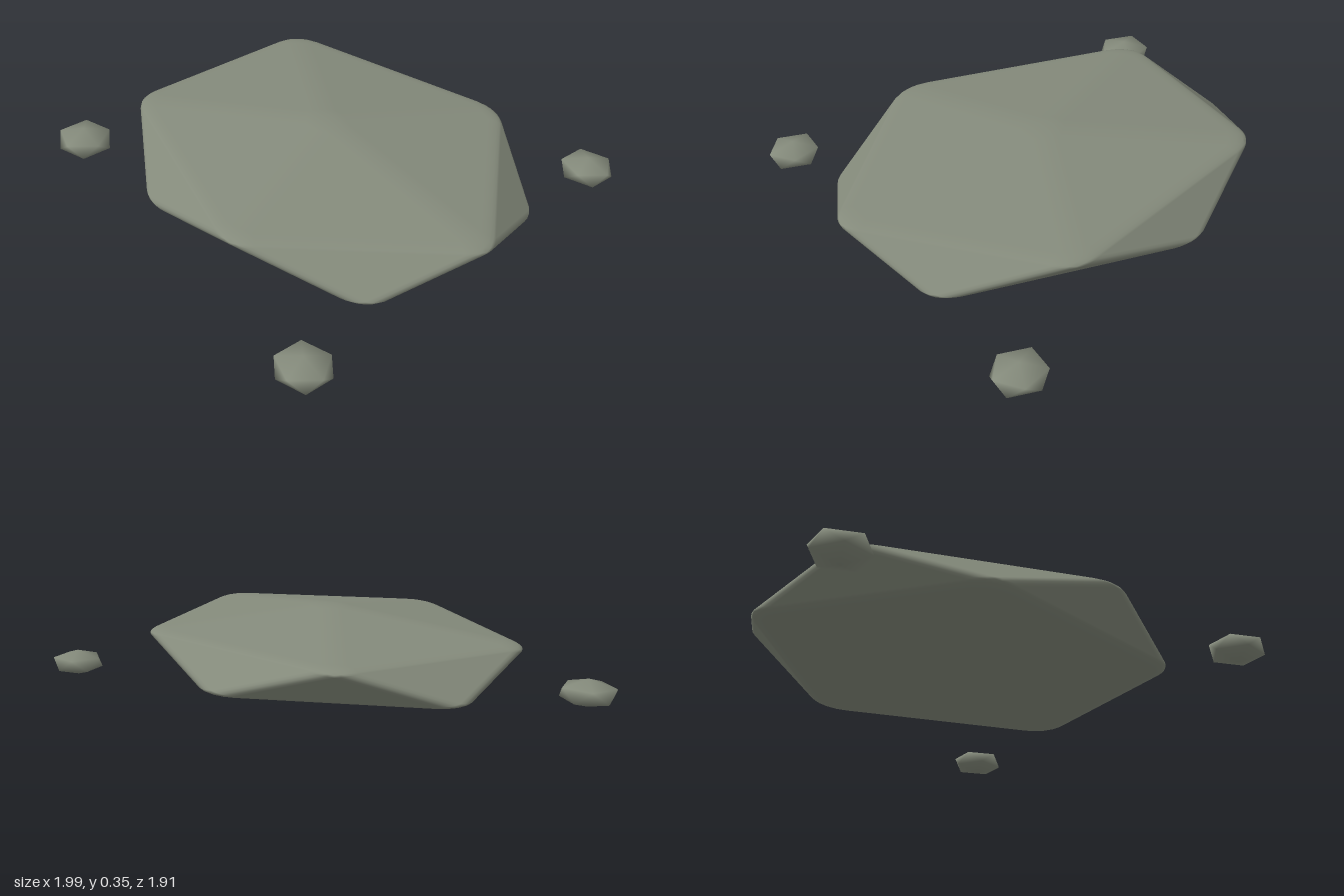
import * as THREE from 'three';
import { ConvexGeometry } from 'three/addons/geometries/ConvexGeometry.js';

// Twelve corners of a unit icosahedron standing on a corner, upper ring pointing to +x
function corners() {
  const list = [new THREE.Vector3(0, 1, 0), new THREE.Vector3(0, -1, 0)];
  const h = 1 / Math.sqrt(5), r = 2 * h;
  for (let i = 0; i < 5; i++) {
    const a = i * Math.PI * 2 / 5;
    list.push(new THREE.Vector3(r * Math.cos(a), h, r * Math.sin(a)));
    list.push(new THREE.Vector3(-r * Math.cos(a), -h, -r * Math.sin(a)));
  }
  return list;
}

// Replace the normals of a hull by a rule of the position
function setNormals(geo, rule) {
  const pos = geo.attributes.position, nor = geo.attributes.normal;
  const p = new THREE.Vector3();
  for (let i = 0; i < pos.count; i++) {
    const n = rule(p.fromBufferAttribute(pos, i));
    nor.setXYZ(i, n.x, n.y, n.z);
  }
  return geo;
}

// Icosahedron whose edges and corners are rounded with radius r
function roundedIcosahedron(r) {
  const shrink = 1 - r / 0.7947;
  const verts = corners();
  const near = (a, b) => a !== b && a.distanceTo(b) < 1.1;
  const points = [];
  for (const v of verts) {
    const core = v.clone().multiplyScalar(shrink);
    const add = d => points.push(d.clone().normalize().multiplyScalar(r).add(core));
    const ring = verts.filter(w => near(v, w));
    // Normals of the five faces that meet at this corner
    const faces = [];
    ring.forEach((a, i) => ring.slice(i + 1).forEach(b => {
      if (near(a, b)) faces.push(v.clone().add(a).add(b).normalize());
    }));
    add(v);
    faces.forEach((f, i) => {
      add(f);
      add(f.clone().add(v));
      faces.slice(i + 1).forEach(g => {
        if (f.dot(g) < 0.7) return;
        // Steps round the edge between two faces
        for (const t of [0.25, 0.5, 0.75]) add(f.clone().lerp(g, t));
        add(f.clone().add(g).normalize().add(v));
      });
    });
  }
  const n = new THREE.Vector3();
  return setNormals(new ConvexGeometry(points), p => {
    let best = verts[0];
    for (const v of verts) if (v.dot(p) > best.dot(p)) best = v;
    return n.copy(p).addScaledVector(best, -shrink).normalize();
  });
}

export function createModel() {
  const group = new THREE.Group();
  group.name = 'steppingStone';
  const stone = new THREE.MeshStandardMaterial({ color: 0x848a7b });
  stone.name = 'greyGreenStone';

  const add = (name, geo, size, place) => {
    geo.scale(...size);
    const mesh = new THREE.Mesh(geo, stone);
    mesh.name = name;
    mesh.position.set(...place);
    group.add(mesh);
  };

  // Wide flat slab with softened edges
  add('slab', roundedIcosahedron(0.17), [1.094, 0.182, 0.865], [0.037, 0.176, 0.056]);

  // Three smooth-shaded pebbles round it: x, z, size
  const pebbles = [[0.715, -0.86, 1], [-0.877, 0.733, 1.07], [0.88, 0.85, 1]];
  pebbles.forEach(([x, z, s], i) => {
    const n = new THREE.Vector3();
    const geo = setNormals(new ConvexGeometry(corners()), p => n.copy(p).normalize());
    add('pebble' + (i + 1), geo, [0.128 * s, 0.055 * s, 0.119 * s], [x, 0.063, z]);
  });
  return group;
}
